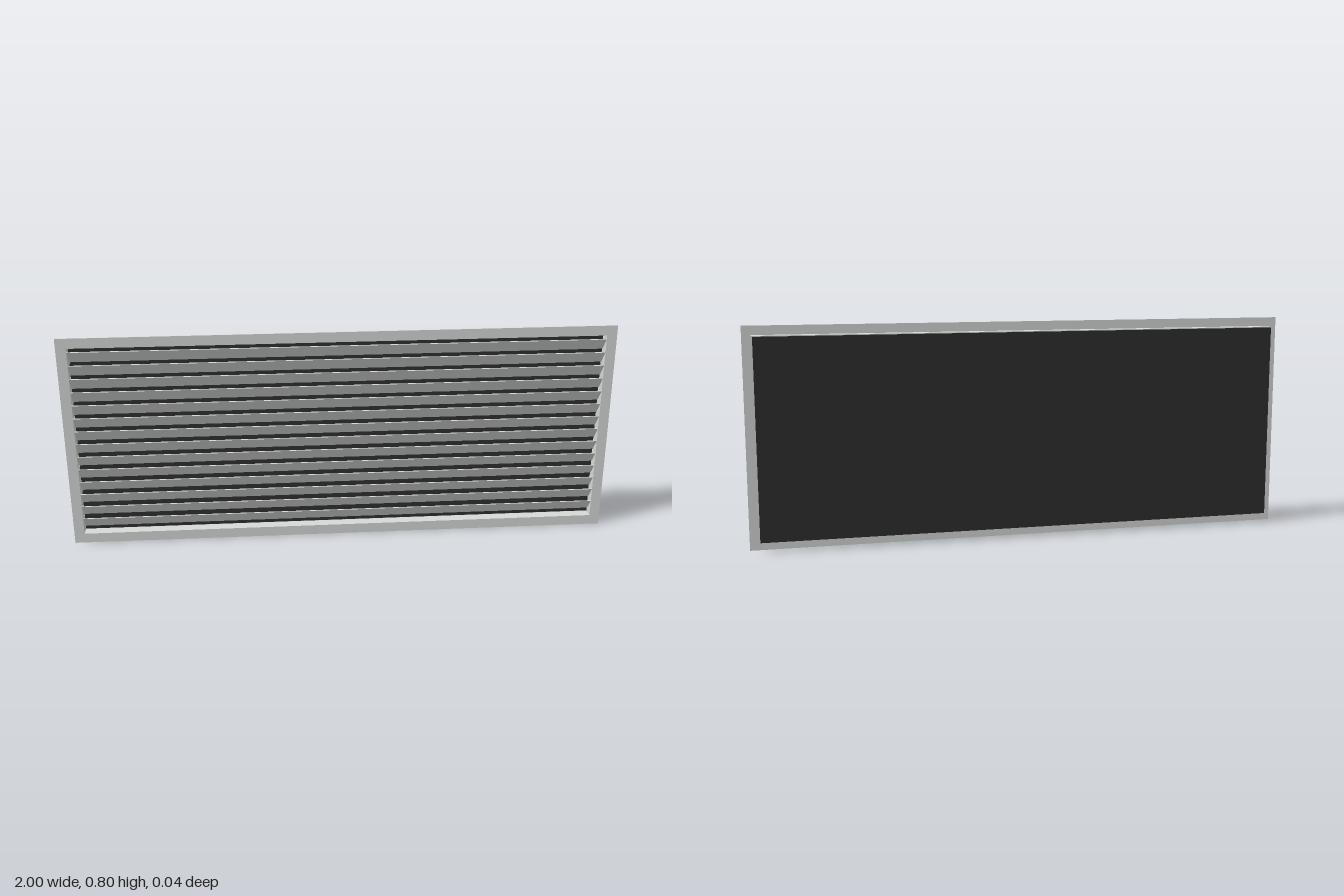
import * as THREE from 'three';

const mat = (name, color) => {
  const m = new THREE.MeshStandardMaterial({ color });
  m.name = name;
  return m;
};

// Rectangular ring centred on (0, 0.4), extruded from z0 to z1
function ring(name, w, h, innerW, innerH, z0, z1, material) {
  const rect = (target, a, b) => target
    .moveTo(-a / 2, -b / 2).lineTo(a / 2, -b / 2)
    .lineTo(a / 2, b / 2).lineTo(-a / 2, b / 2).closePath();
  const shape = new THREE.Shape();
  rect(shape, w, h);
  const hole = new THREE.Path();
  rect(hole, innerW, innerH);
  shape.holes.push(hole);
  const geo = new THREE.ExtrudeGeometry(shape, { depth: z1 - z0, bevelEnabled: false });
  const mesh = new THREE.Mesh(geo, material);
  mesh.name = name;
  mesh.position.set(0, 0.4, z0);
  return mesh;
}

export function createModel() {
  const model = new THREE.Group();
  model.name = 'ventGrille';
  const paleGrey = mat('paleGrey', 0xd6d9d8);
  const panelBlack = mat('panelBlack', 0x2e2e2e);

  // Flat front flange and the sleeve behind it
  model.add(ring('frontFlange', 2, 0.8, 1.926, 0.726, 0.018, 0.022, paleGrey));
  model.add(ring('sleeve', 1.934, 0.734, 1.926, 0.726, -0.018, 0.018, paleGrey));

  // Thin dark panel just behind the sleeve
  const panel = new THREE.Mesh(new THREE.BoxGeometry(1.926, 0.728, 0.001), panelBlack);
  panel.name = 'backPanel';
  panel.position.set(0, 0.4, -0.0215);
  model.add(panel);

  // Tilted louvre slats, front edge high and rear edge low
  const slats = new THREE.Group();
  slats.name = 'slats';
  const slatGeo = new THREE.BoxGeometry(1.926, 0.058, 0.003);
  for (let i = 0; i < 14; i++) {
    const slat = new THREE.Mesh(slatGeo, paleGrey);
    slat.name = 'slat';
    slat.position.set(0, 0.075 + i * 0.05, 0.001);
    slat.rotation.x = 0.65;
    slats.add(slat);
  }
  model.add(slats);
  return model;
}
